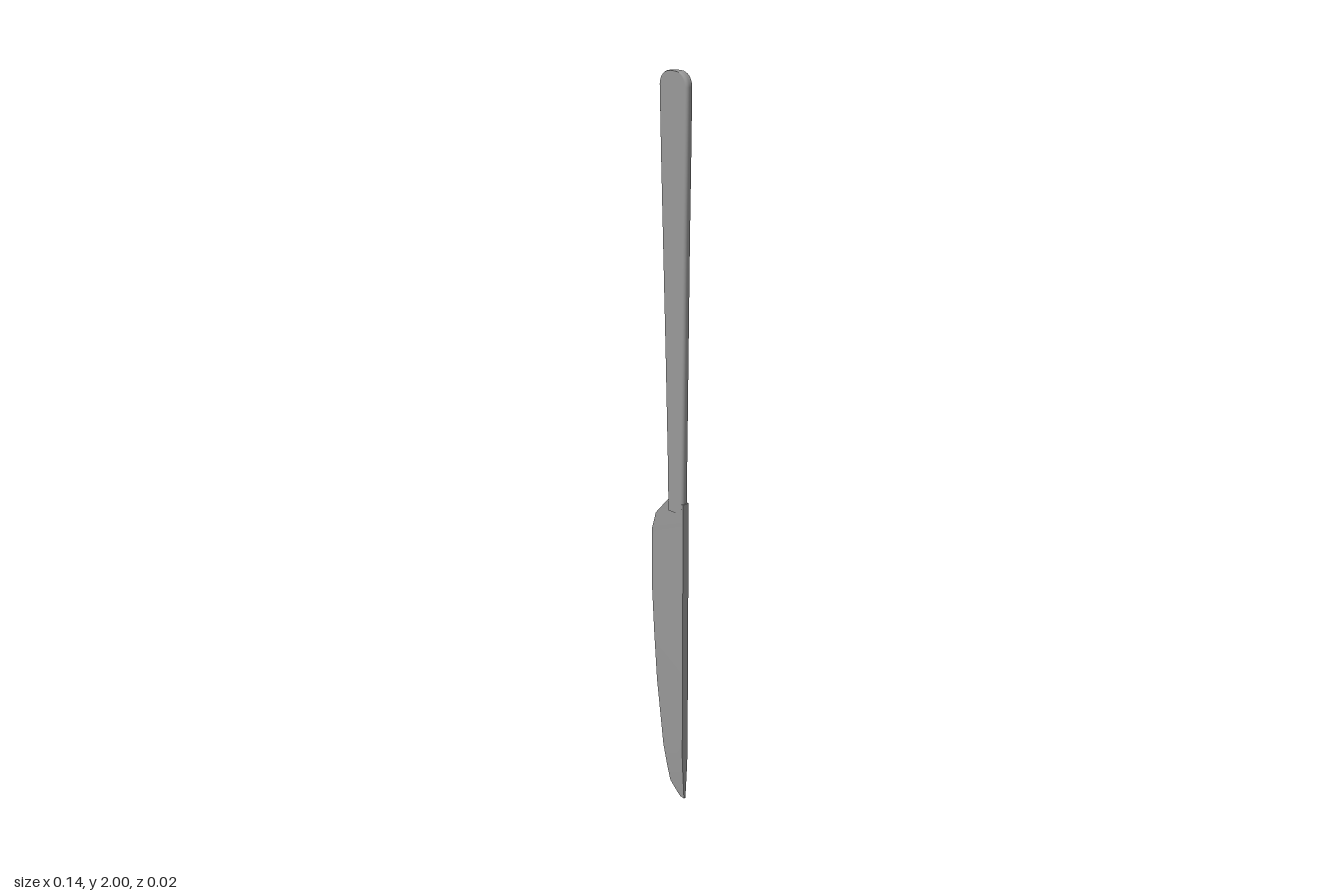
import * as THREE from 'three';
import { toCreasedNormals } from 'three/addons/utils/BufferGeometryUtils.js';

const steel = new THREE.MeshStandardMaterial({ color: 0x999999 });

// Skin a stack of equal-length [x, z] sections, listed bottom to top.
// Each section runs anticlockwise in x (right) and -z (up). Caps get their own
// vertices, so their rims stay sharp.
function loft(sections) {
  const n = sections[0].points.length;
  const positions = [];
  const indices = [];
  const stack = [...sections, sections[0], sections[sections.length - 1]];
  for (const { y, points } of stack) {
    for (const [x, z] of points) positions.push(x, y, z);
  }
  for (let s = 0; s < sections.length - 1; s++) {
    for (let i = 0; i < n; i++) {
      const a = s * n + i;
      const b = s * n + (i + 1) % n;
      indices.push(a, b, b + n, a, b + n, a + n);
    }
  }
  const bottom = sections.length * n;
  const top = bottom + n;
  for (let i = 1; i < n - 1; i++) {
    indices.push(bottom, bottom + i + 1, bottom + i, top, top + i, top + i + 1);
  }
  const geometry = new THREE.BufferGeometry();
  geometry.setAttribute('position', new THREE.Float32BufferAttribute(positions, 3));
  geometry.setIndex(indices);
  geometry.computeVertexNormals();
  return geometry;
}

// Rounded bar section between x = left and x = right
function barSection(y, left, right) {
  const half = 0.011;
  const radius = 0.008;
  const points = [];
  const corners = [
    [right - radius, half - radius], [left + radius, half - radius],
    [left + radius, radius - half], [right - radius, radius - half],
  ];
  corners.forEach(([cx, cz], q) => {
    for (let k = 0; k <= 6; k++) {
      const a = (q + k / 6) * Math.PI / 2;
      points.push([cx + radius * Math.cos(a), -(cz + radius * Math.sin(a))]);
    }
  });
  return { y, points };
}

// Wedge section: thin cutting edge at left, flat spine at right
function wedgeSection(y, left, edge, spine) {
  const right = 0.059;
  return { y, points: [[left, edge], [right, spine], [right, -spine], [left, -edge]] };
}

export function createModel() {
  const knife = new THREE.Group();
  knife.name = 'tableKnife';

  // Handle: narrow neck widening to a butt with rounded corners
  const handleRows = [
    [0.87, 0.001, 0.056], [1.0, -0.001, 0.057], [1.3, -0.009, 0.06],
    [1.6, -0.018, 0.063], [1.8, -0.024, 0.066], [1.965, -0.028, 0.068],
  ].map((row) => barSection(...row));
  for (let k = 1; k <= 8; k++) {
    const a = k / 8 * Math.PI / 2;
    const inset = 0.034 * (1 - Math.cos(a));
    handleRows.push(barSection(1.965 + 0.035 * Math.sin(a), -0.028 + inset, 0.068 - inset));
  }
  const handle = new THREE.Mesh(loft(handleRows), steel);
  handle.name = 'handle';
  knife.add(handle);

  // Blade: y, cutting edge x, edge half thickness, spine half thickness
  const bladeRows = [
    [0, 0.044, 0.0015, 0.003], [0.008, 0.033, 0.0015, 0.0035], [0.035, 0.003, 0.001, 0.005],
    [0.075, -0.009, 0.001, 0.0075], [0.14, -0.025, 0.001, 0.0105], [0.34, -0.05, 0.001, 0.0105],
    [0.48, -0.06, 0.001, 0.0105], [0.62, -0.068, 0.001, 0.0105], [0.79, -0.068, 0.001, 0.0105],
    [0.845, -0.05, 0.003, 0.0105], [0.88, -0.018, 0.005, 0.0105], [0.9, 0.001, 0.007, 0.0105],
  ];
  const bladeGeometry = loft(bladeRows.map((row) => wedgeSection(...row)));
  const blade = new THREE.Mesh(toCreasedNormals(bladeGeometry, 0.6), steel);
  blade.name = 'blade';
  knife.add(blade);

  return knife;
}
